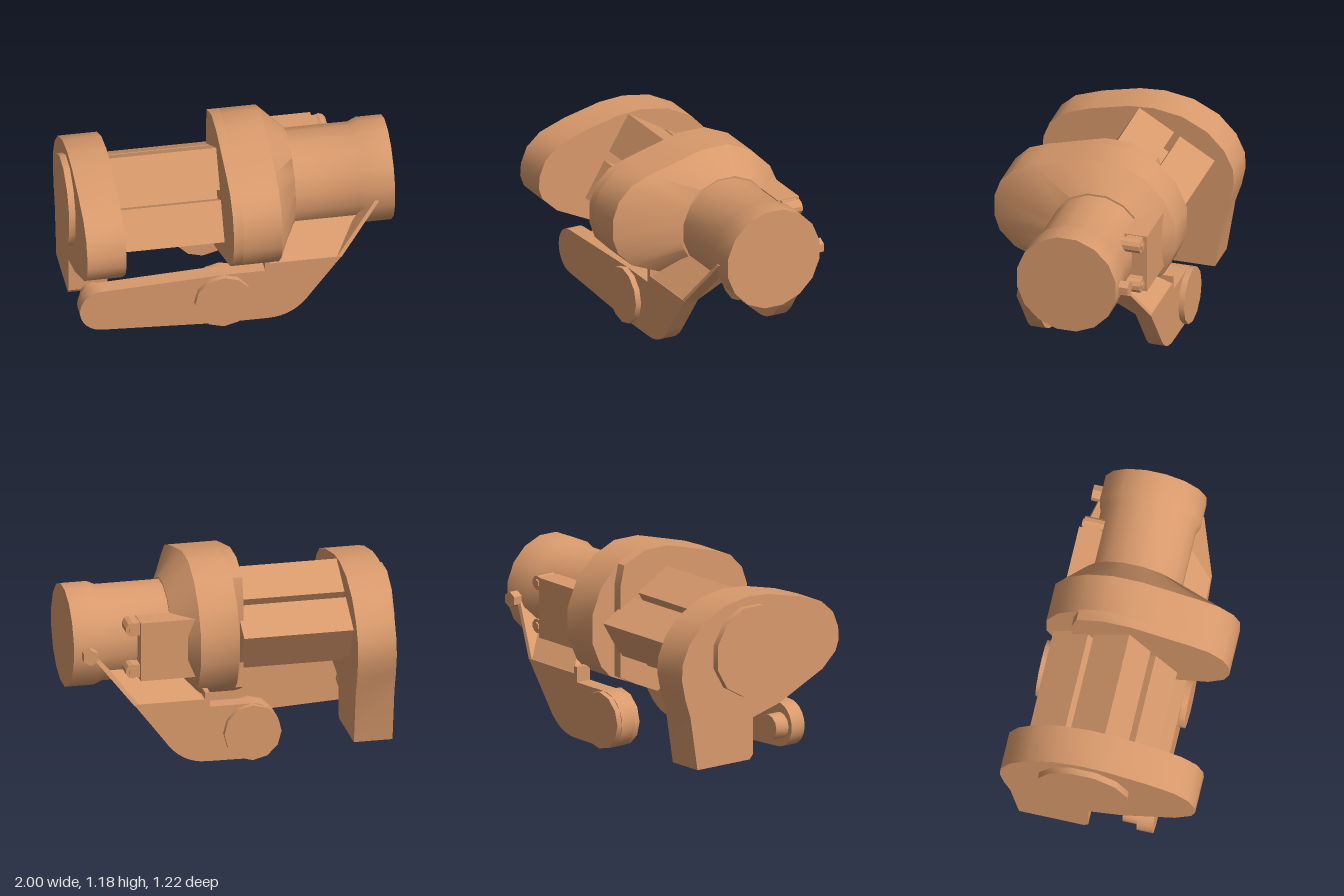
import * as THREE from 'three';
import { toCreasedNormals } from 'three/addons/utils/BufferGeometryUtils.js';

const MID_Z = -0.0875, AXIS_Y = 0.73;
const V2 = (p) => new THREE.Vector2(p[0], p[1]);

// Capped loft along x; each section is [x, points], points are [z, y]
function loft(sections) {
  const pos = [];
  const tri = (...c) => c.forEach((p) => pos.push(...p));
  const rings = sections.map(([x, pts]) => pts.map(([z, y]) => [x, y, z]));
  const n = rings[0].length;
  for (let s = 0; s < rings.length - 1; s++) {
    for (let i = 0; i < n; i++) {
      const j = (i + 1) % n, a = rings[s], b = rings[s + 1];
      tri(a[i], b[i], b[j]);
      tri(a[i], b[j], a[j]);
    }
  }
  [[rings[0], -1], [rings[rings.length - 1], 1]].forEach(([r, dir]) => {
    const flat = r.map((p) => new THREE.Vector2(-p[2], p[1]));
    THREE.ShapeUtils.triangulateShape(flat, []).forEach(([a, b, c]) => {
      const area = ShapeArea(flat[a], flat[b], flat[c]);
      if (area * dir > 0) tri(r[a], r[b], r[c]);
      else tri(r[a], r[c], r[b]);
    });
  });
  const g = new THREE.BufferGeometry();
  g.setAttribute('position', new THREE.Float32BufferAttribute(pos, 3));
  return toCreasedNormals(g, 0.6);
}
const ShapeArea = (a, b, c) => (b.x - a.x) * (c.y - a.y) - (c.x - a.x) * (b.y - a.y);

// Ring running the same way round as the outlines below
function ring(r, n = 16) {
  return Array.from({ length: n }, (_, i) => {
    const t = ((i + 0.5) / n) * Math.PI * 2;
    return [MID_Z + r * Math.cos(t), AXIS_Y + r * Math.sin(t)];
  });
}

// Flat arm plate, leaning towards the middle above y = 0.4
function armPlate(shape, side, lean = 0) {
  const g = new THREE.ExtrudeGeometry(shape, { depth: 0.1, bevelEnabled: false, curveSegments: 8 });
  g.translate(0, 0, MID_Z + side * 0.3775 - 0.05);
  const p = g.attributes.position;
  for (let i = 0; i < p.count; i++) {
    p.setZ(i, p.getZ(i) - side * lean * Math.max(0, p.getY(i) - 0.4));
  }
  return toCreasedNormals(g, 0.6);
}

// Round part along z
function disc(r, z0, z1, x, y, sides = 12) {
  const g = new THREE.CylinderGeometry(r, r, z1 - z0, sides);
  g.rotateX(Math.PI / 2);
  g.translate(x, y, (z0 + z1) / 2);
  return toCreasedNormals(g, 0.6);
}

export function createModel() {
  const model = new THREE.Group();
  const mat = new THREE.MeshStandardMaterial({ color: 0xd99a6c });
  const add = (name, geo, parent = model) => {
    const m = new THREE.Mesh(geo, mat);
    m.name = name;
    parent.add(m);
    return m;
  };

  // Barrel with flared end
  add('barrel', loft([[0.36, ring(0.298)], [0.79, ring(0.298)], [0.84, ring(0.32)], [1, ring(0.32)]]));

  // Collar: lobed body tapering to the barrel, recessed at its back edge
  const collar = [[0.61, 0.71], [0.61, 0.84], [0.57, 0.95], [0.48, 1.04], [0.36, 1.085], [0.18, 1.133],
    [0, 1.18], [-0.18, 1.18], [-0.34, 1.11], [-0.47, 0.98], [-0.54, 0.82], [-0.54, 0.64], [-0.47, 0.48],
    [-0.4, 0.41], [-0.25, 0.35], [-0.085, 0.28], [0.1, 0.355], [0.25, 0.42], [0.48, 0.515], [0.575, 0.61]];
  const neck = collar.map(([z, y]) => {
    const t = Math.atan2(y - AXIS_Y, z - MID_Z);
    return [MID_Z + 0.31 * Math.cos(t), AXIS_Y + 0.31 * Math.sin(t)];
  });
  add('collar', loft([[0, collar], [0.24, collar], [0.39, neck]]));
  add('collarBack', loft([[-0.06, collar.map(([z, y]) => [Math.max(z, -0.37), y])],
    [0.01, collar.map(([z, y]) => [Math.max(z, -0.37), y])]]));

  // End plate with its leg, and the round cover
  const plate = [[0.605, 0.68], [0.6, 0.76], [0.56, 0.86], [0.47, 0.94], [0.3, 1.0], [0.06, 1.055],
    [-0.1, 1.065], [-0.28, 1.035], [-0.44, 0.955], [-0.55, 0.84], [-0.605, 0.72], [-0.61, 0.62],
    [-0.585, 0.5], [-0.545, 0.38], [-0.49, 0.04], [-0.085, 0.04], [-0.06, 0.07], [-0.06, 0.3],
    [0.15, 0.358], [0.3, 0.43], [0.48, 0.515], [0.58, 0.61]];
  add('endPlate', loft([[-0.96, plate], [-0.72, plate]]));
  add('endCover', loft([[-1, ring(0.287, 12)], [-0.95, ring(0.287, 12)]]));

  // Three square bars and a core, turned about the x axis
  const tilt = 0.541, sn = Math.sin(tilt), cs = Math.cos(tilt);
  const bar = (name, u, v, size) => {
    const m = add(name, new THREE.BoxGeometry(0.7, size, size));
    m.position.set(-0.39, 1.055 - u * cs - v * sn, -0.01 + u * sn - v * cs);
    m.rotation.x = -tilt;
  };
  [[0.13, 0.13], [0.45, 0.13], [0.13, 0.43]].forEach(([u, v]) => bar('bar', u, v, 0.257));
  bar('barCore', 0.29, 0.29, 0.3);

  // Swing arms: the front one is long, the rear one ends at its hub
  for (const side of [1, -1]) {
    const arm = new THREE.Group();
    arm.name = side > 0 ? 'frontArm' : 'rearArm';
    model.add(arm);

    const s = new THREE.Shape();
    s.moveTo(0.65, 0.405);
    s.lineTo(0.21, 0.405);
    s.lineTo(0.21, 0.45);
    s.lineTo(0.18, 0.45);
    s.lineTo(0.18, 0.355);
    s.lineTo(-0.08, 0.355);
    if (side > 0) {
      s.lineTo(-0.83, 0.32);
      s.absarc(-0.82, 0.18, 0.14, Math.PI / 2, Math.PI * 1.5, false);
      s.lineTo(-0.1, 0.003);
    } else {
      s.absarc(-0.08, 0.1775, 0.1775, Math.PI / 2, Math.PI * 1.5, false);
    }
    s.lineTo(0.2, 0.003);
    s.quadraticCurveTo(0.36, 0.003, 0.46, 0.155);
    s.closePath();
    add('armPlate', armPlate(s, side), arm);

    // Sloping web and the slim strut reaching the barrel
    const web = [[0.21, 0.4], [0.65, 0.4], [0.77, 0.575], [0.38, 0.575]];
    add('armWeb', armPlate(new THREE.Shape(web.map(V2)), side, 1.0), arm);
    const strut = [[0.62, 0.4], [0.65, 0.4], [0.9, 0.71], [0.87, 0.71]];
    add('armStrut', armPlate(new THREE.Shape(strut.map(V2)), side, 0.34), arm);

    const c = MID_Z + side * 0.3775;
    add('armHub', disc(0.1775, c - 0.086, c + 0.086, -0.08, 0.1775), arm);
  }
  add('armPin', disc(0.08, 0.145, 0.25, -0.85, 0.18));

  // Rear box with two posts, and the nut at the strut's tip
  const box = new THREE.BoxGeometry(0.38, 0.375, 0.145);
  box.translate(0.41, 0.7275, -0.4025);
  add('rearBox', box);
  for (const y of [0.87, 0.6]) {
    add('boxPost', disc(0.045, -0.455, -0.33, 0.645, y, 10));
    add('postNut', disc(0.025, -0.465, -0.45, 0.645, y, 6));
    const tab = new THREE.BoxGeometry(0.06, 0.08, 0.1);
    tab.translate(0.61, y, -0.4);
    add('postTab', tab);
  }
  add('strutNut', disc(0.05, -0.46, -0.35, 0.905, 0.71, 6));

  return model;
}
